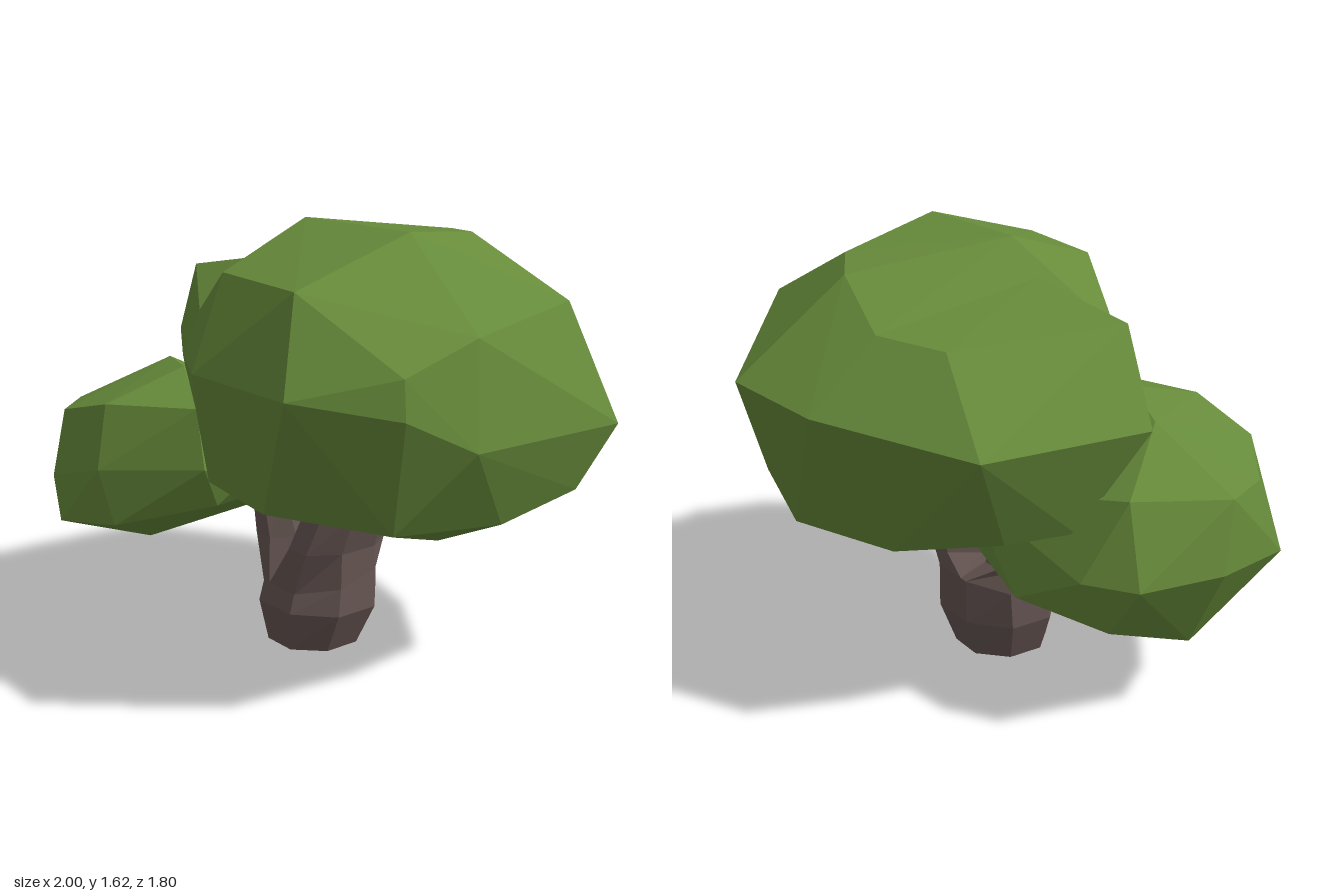
import * as THREE from 'three';
import { ConvexGeometry } from 'three/addons/geometries/ConvexGeometry.js';

const leafMaterial = new THREE.MeshStandardMaterial({ color: 0x668a3a, flatShading: true });
const barkMaterial = new THREE.MeshStandardMaterial({ color: 0x655552, flatShading: true });

// Faceted solid wrapped around a few corner points
function hull(name, corners) {
  const points = corners.map(([x, y, z]) => new THREE.Vector3(x, y, z));
  const mesh = new THREE.Mesh(new ConvexGeometry(points), leafMaterial);
  mesh.name = name;
  return mesh;
}

// Eight-sided ring, lower at the front by the tilt, optionally cut off at minX or maxX
function ring(x, y, z, rx, rz, tilt = 0, minX = -1, maxX = 1) {
  const sides = 8;
  const k = 1 / Math.cos(Math.PI / sides);
  return Array.from({ length: sides }, (_, i) => {
    const a = ((i + 0.5) / sides) * Math.PI * 2;
    const dz = Math.cos(a) * rz * k;
    const px = THREE.MathUtils.clamp(x + Math.sin(a) * rx * k, minX, maxX);
    return [px, y - tilt * dz, z + dz];
  });
}

// Closed limb skinned over rings from bottom to top
function limb(name, rings) {
  const sides = rings[0].length;
  const index = [];
  for (let r = 0; r < rings.length - 1; r++) {
    for (let i = 0; i < sides; i++) {
      const a = r * sides + i;
      const b = r * sides + ((i + 1) % sides);
      index.push(a, b, b + sides, a, b + sides, a + sides);
    }
  }
  // End caps
  const top = (rings.length - 1) * sides;
  for (let i = 1; i < sides - 1; i++) {
    index.push(0, i + 1, i, top, top + i, top + i + 1);
  }
  const geometry = new THREE.BufferGeometry();
  geometry.setAttribute('position', new THREE.Float32BufferAttribute(rings.flat(2), 3));
  geometry.setIndex(index);
  geometry.computeVertexNormals();
  const mesh = new THREE.Mesh(geometry, barkMaterial);
  mesh.name = name;
  return mesh;
}

export function createModel() {
  const tree = new THREE.Group();
  tree.name = 'tree';

  // Trunk; both branches grow flush from its tilted top ring and part at the crotch
  const fork = [-0.01, 0.285, 0.07, 0.23, 0.2, 0.27];
  const crotchX = -0.07;
  const trunk = new THREE.Group();
  trunk.name = 'trunk';
  trunk.add(
    limb('trunkBase', [
      ring(-0.01, 0, 0.1, 0.17, 0.17),
      ring(-0.005, 0.16, 0.085, 0.235, 0.21),
      ring(...fork),
    ]),
    limb('leftBranch', [
      ring(...fork, crotchX, 1),
      ring(0.095, 0.4, 0.07, 0.125, 0.19),
      ring(0.14, 0.56, 0.055, 0.125, 0.16),
      ring(0.18, 0.75, 0.05, 0.1, 0.12),
    ]),
    limb('rightBranch', [
      ring(...fork, -1, crotchX),
      ring(-0.147, 0.4, 0.1, 0.103, 0.14),
      ring(-0.178, 0.56, 0.12, 0.083, 0.12),
      ring(-0.2, 0.75, 0.13, 0.06, 0.08),
    ])
  );
  tree.add(trunk);

  const foliage = new THREE.Group();
  foliage.name = 'foliage';

  // Tall main clump
  foliage.add(hull('mainFoliage', [
    // crest
    [0, 1.62, 0.14], [0.56, 1.62, 0.14], [0.33, 1.56, -0.37], [0.09, 1.54, -0.5],
    // shoulder
    [0.13, 1.48, 0.59], [0.6, 1.48, 0.65], [0.92, 1.24, 0.48], [0.93, 1.33, 0.18], [0.73, 1.35, -0.46],
    // slope down to the shoulder clump
    [-0.1, 1.48, 0.18], [-0.26, 1.28, 0.43], [-0.35, 1.1, 0.45], [-0.18, 1.39, -0.53],
    // widest band
    [0.2, 1.17, 0.77], [0.7, 1.17, 0.77], [0.94, 1.11, 0.49], [1, 0.98, 0.24],
    [0.91, 0.93, -0.54], [0.65, 1.04, -0.68], [0.16, 1.2, -0.9], [-0.2, 1.15, -0.8],
    // underside
    [0.12, 0.76, 0.66], [0.45, 0.73, 0.67], [0.82, 0.7, 0.43], [0.85, 0.65, -0.03],
    [0.85, 0.7, -0.4], [0.5, 0.71, -0.65], [0.48, 0.475, -0.09], [0.155, 0.63, -0.7], [-0.25, 0.62, -0.52],
  ]));

  // Lower shoulder clump merging into the main one
  foliage.add(hull('shoulderFoliage', [
    // top
    [-0.55, 1.4, 0.25], [-0.1, 1.48, 0.18], [-0.26, 1.28, 0.43],
    [-0.18, 1.39, -0.53], [-0.42, 1.37, -0.4],
    // widest band
    [-0.8, 1.1, 0.17], [-0.75, 1.1, -0.48], [-0.2, 1.15, -0.8], [0.16, 1.2, -0.9], [-0.35, 1.1, 0.45],
    // underside
    [0.12, 0.76, 0.66], [0.48, 0.475, -0.09], [0.155, 0.63, -0.7],
    [-0.25, 0.62, -0.52], [-0.62, 0.73, -0.3], [-0.67, 0.73, -0.04],
  ]));

  // Small low clump at the front
  foliage.add(hull('lowFoliage', [
    // top
    [-0.6, 1.04, 0.35], [-0.3, 1.07, 0.48], [0.04, 1, 0.65], [-0.29, 0.98, 0.82],
    [-0.6, 0.9, 0.82], [-0.88, 0.86, 0.6], [-0.95, 0.85, 0.42], [-0.83, 0.88, 0.06],
    // widest band
    [-1, 0.6, 0.35], [-0.95, 0.6, 0.66], [-0.58, 0.66, 0.89], [-0.24, 0.76, 0.89],
    [0.11, 0.8, 0.67], [0.12, 0.74, 0.5], [-0.95, 0.6, 0.02], [-0.78, 0.6, -0.1],
    // underside
    [-0.52, 0.5, 0.9], [-0.77, 0.38, 0.6], [-0.84, 0.28, 0.35], [-0.82, 0.4, 0],
    [-0.48, 0.37, 0.54], [-0.19, 0.56, 0.86], [0.08, 0.65, 0.6], [0, 0.65, 0.25],
    // back end tucked under the main clump
    [-0.5, 0.45, -0.17], [-0.2, 0.54, -0.15], [-0.17, 0.75, -0.17],
  ]));

  tree.add(foliage);
  return tree;
}
